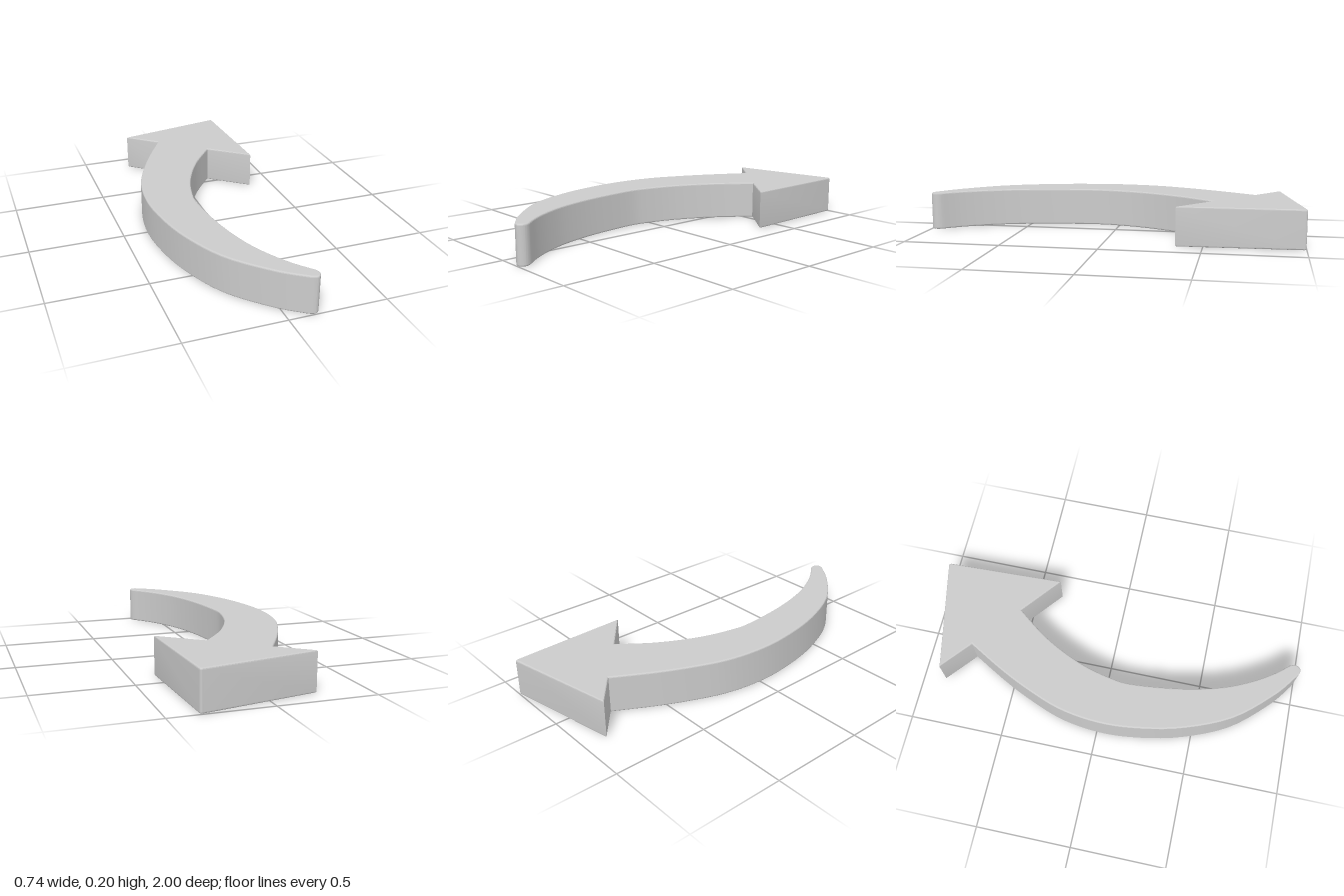
import * as THREE from 'three';
import { toCreasedNormals } from 'three/addons/utils/BufferGeometryUtils.js';

const HEIGHT = 0.2;
const BEVEL = 0.008;

// Points are given as [x, z]; the shape plane is (x, -z).
const vec = ([x, z]) => new THREE.Vector2(x, -z);

// Outer edge of the tail, from the arrowhead to the tip
const outer = [[-0.09, -0.745], [-0.2, -0.55], [-0.28, -0.38], [-0.345, -0.2], [-0.373, 0],
  [-0.362, 0.2], [-0.31, 0.44], [-0.2, 0.69], [-0.03, 0.885], [0.09, 0.98]];
// Inner edge of the tail, from the tip back to the arrowhead
const inner = [[0.15, 0.94], [0.08, 0.855], [0.01, 0.74], [-0.05, 0.6], [-0.1, 0.4],
  [-0.13, 0.15], [-0.12, 0.02], [-0.07, -0.16], [0.03, -0.36], [0.16, -0.535]];

function arrowOutline() {
  const shape = new THREE.Shape();
  const line = (x, z) => shape.lineTo(x, -z);
  const spline = (pts) => new THREE.SplineCurve(pts.map(vec)).getPoints(40)
    .forEach((p) => shape.lineTo(p.x, p.y));

  shape.moveTo(-0.09, 0.745);
  new THREE.SplineCurve(outer.map(vec)).getPoints(40).slice(1)
    .forEach((p) => shape.lineTo(p.x, p.y));
  // rounded tail tip
  shape.bezierCurveTo(0.125, -1.006, 0.145, -1.006, 0.157, -0.977);
  shape.quadraticCurveTo(0.163, -0.962, 0.15, -0.94);
  spline(inner.slice(0));
  // arrowhead with a softened point
  line(0.37, -0.365);
  line(0.351, -0.985);
  shape.quadraticCurveTo(0.35, 1.002, 0.334, 0.997);
  line(-0.25, -0.88);
  shape.closePath();
  return shape;
}

export function createModel() {
  const group = new THREE.Group();
  group.name = 'curvedArrow';

  const extruded = new THREE.ExtrudeGeometry(arrowOutline(), {
    depth: HEIGHT - 2 * BEVEL,
    curveSegments: 10,
    bevelEnabled: true,
    bevelThickness: BEVEL,
    bevelSize: BEVEL,
    bevelOffset: -BEVEL,
    bevelSegments: 3,
  });
  // lay the plate flat on the ground
  extruded.translate(0, 0, BEVEL);
  extruded.rotateX(-Math.PI / 2);

  const arrow = new THREE.Mesh(
    toCreasedNormals(extruded, 0.25),
    new THREE.MeshStandardMaterial({ color: 0xcccccc }),
  );
  arrow.name = 'arrowPlate';
  group.add(arrow);
  return group;
}
